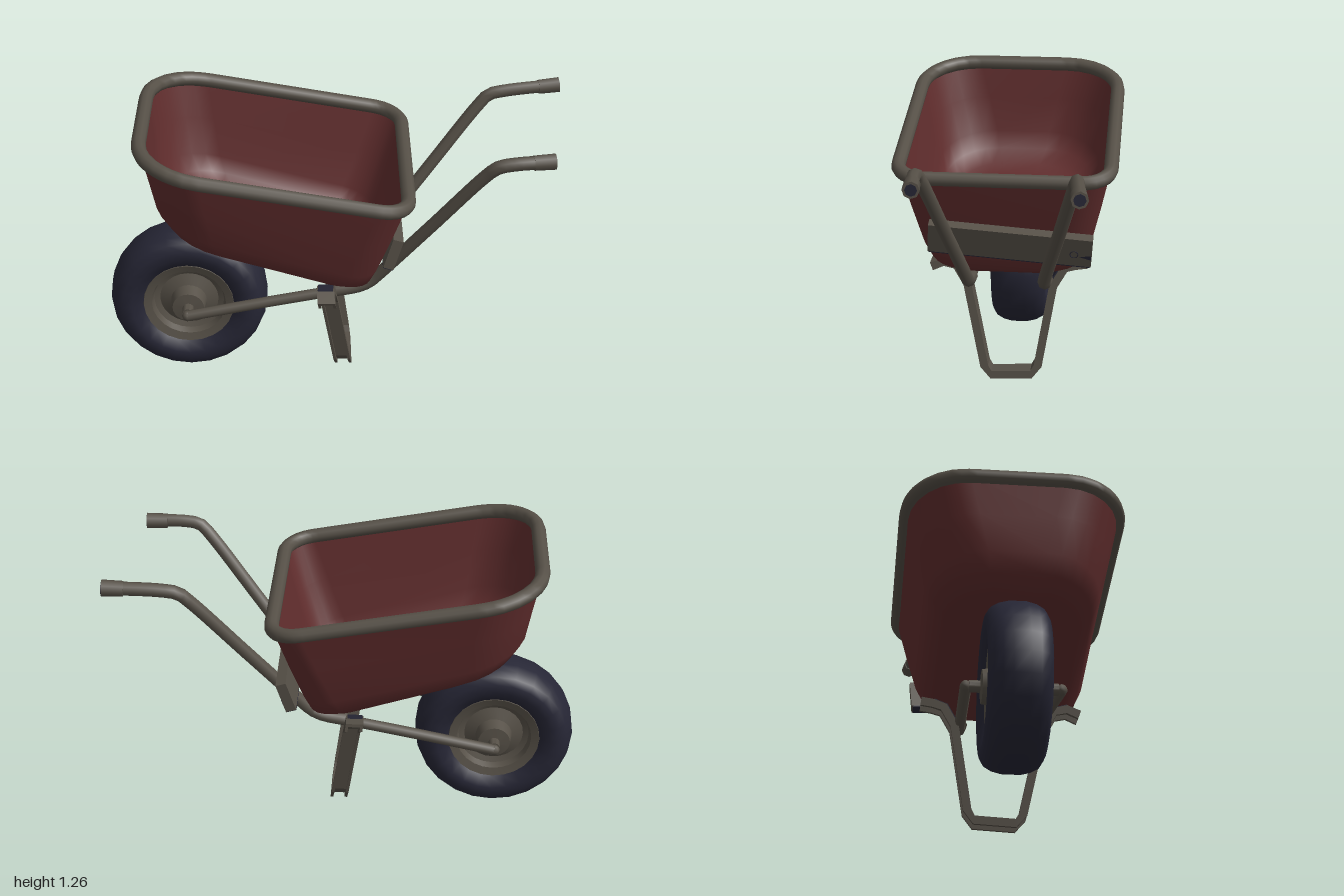
import * as THREE from 'three';
import { toCreasedNormals } from 'three/addons/utils/BufferGeometryUtils.js';

const mat = (name, color) => {
  const m = new THREE.MeshStandardMaterial({ color, side: THREE.DoubleSide });
  m.name = name;
  return m;
};
const V = (x, y, z) => new THREE.Vector3(x, y, z);

// Rounded rectangle loop lying in a plane tilted along x
function trayLoop([x0, x1, y0, y1, hz, rFront, rBack]) {
  const pts = [];
  const corners = [[x1, 1, rBack, 0], [x0, 1, rFront, 1], [x0, -1, rFront, 2], [x1, -1, rBack, 3]];
  for (const [x, sz, r, q] of corners) {
    const cx = x === x1 ? x1 - r : x0 + r, cz = sz * (hz - r);
    for (let i = 0; i <= 6; i++) {
      const a = (q + i / 6) * Math.PI / 2;
      const px = cx + r * Math.cos(a);
      pts.push(V(px, y0 + (y1 - y0) * (px - x0) / (x1 - x0), cz + r * Math.sin(a)));
    }
  }
  return pts;
}

// Skin over equal-length loops, closed by a fan at the last loop
function skin(loops) {
  const n = loops[0].length, pos = [], idx = [];
  loops.forEach(l => l.forEach(p => pos.push(p.x, p.y, p.z)));
  const last = loops[loops.length - 1];
  const c = last.reduce((s, p) => s.add(p), V(0, 0, 0)).divideScalar(n);
  pos.push(c.x, c.y, c.z);
  for (let k = 0; k < loops.length; k++) {
    for (let i = 0; i < n; i++) {
      const j = (i + 1) % n, a = k * n + i, b = k * n + j;
      if (k === loops.length - 1) idx.push(a, b, loops.length * n);
      else idx.push(a, b, a + n, b, b + n, a + n);
    }
  }
  const g = new THREE.BufferGeometry();
  g.setAttribute('position', new THREE.Float32BufferAttribute(pos, 3));
  g.setIndex(idx);
  g.computeVertexNormals();
  return g;
}

// Bar following a (z, y) path, extruded along x and leaning back towards the ground
function legBar(path, t0, t1, x0, width) {
  const pts = path.map(p => new THREE.Vector2(...p));
  const side = t => pts.map((p, i) => {
    const d = pts[Math.min(i + 1, pts.length - 1)].clone().sub(pts[Math.max(i - 1, 0)]).normalize();
    return new THREE.Vector2(-(p.x - d.y * t), p.y + d.x * t);
  });
  const shape = new THREE.Shape([...side(t0), ...side(t1).reverse()]);
  const g = new THREE.ExtrudeGeometry(shape, { depth: width, bevelEnabled: false });
  g.rotateY(Math.PI / 2);
  const p = g.attributes.position;
  for (let i = 0; i < p.count; i++) p.setX(i, p.getX(i) + x0 + (0.55 - p.getY(i)) * 0.15);
  g.computeVertexNormals();
  return g;
}

export function createModel() {
  const red = mat('tray red', 0x602d2d);
  const metal = mat('metal grey', 0x565047);
  const dark = mat('rubber dark', 0x262635);
  const model = new THREE.Group();
  model.name = 'wheelbarrow';
  const add = (name, geo, material, parent = model) => {
    const m = new THREE.Mesh(geo, material);
    m.name = name;
    parent.add(m);
    return m;
  };
  const tube = (pts, r) => new THREE.TubeGeometry(new THREE.CatmullRomCurve3(pts), 36, r, 8);

  // Tray: x front, x back, y front, y back, half width, corner radii
  const loops = [
    [-0.81, 0.30, 1.24, 1.035, 0.45, 0.25, 0.12],
    [-0.785, 0.24, 1.08, 0.835, 0.41, 0.25, 0.13],
    [-0.762, 0.18, 0.92, 0.65, 0.37, 0.25, 0.14],
    [-0.72, 0.155, 0.845, 0.58, 0.34, 0.23, 0.14],
    [-0.65, 0.105, 0.79, 0.548, 0.285, 0.2, 0.13],
    [-0.58, 0.03, 0.768, 0.571, 0.22, 0.14, 0.08],
  ].map(trayLoop);
  add('tray', skin(loops), red);

  // Rolled rim around the tray
  const rimPath = new THREE.CurvePath();
  loops[0].forEach((p, i, l) => rimPath.add(new THREE.LineCurve3(p, l[(i + 1) % l.length])));
  add('trayRim', new THREE.TubeGeometry(rimPath, 120, 0.031, 10, true), metal);

  // Wheel
  const wheel = new THREE.Group();
  wheel.name = 'wheel';
  wheel.position.set(-0.65, 0.36, -0.008);
  model.add(wheel);
  const lathe = half => {
    const all = [...half, ...half.map(([r, y]) => [r, -y]).reverse()];
    const g = new THREE.LatheGeometry(all.map(p => new THREE.Vector2(...p)), 24);
    return toCreasedNormals(g.rotateX(Math.PI / 2), 0.7);
  };
  add('tire', lathe([[0.19, -0.085], [0.21, -0.105], [0.25, -0.127], [0.29, -0.125], [0.32, -0.107],
    [0.338, -0.075], [0.348, -0.035]]), dark, wheel);
  add('wheelRim', lathe([[0, -0.18], [0.025, -0.18], [0.025, -0.135], [0.07, -0.13], [0.08, -0.07],
    [0.13, -0.05], [0.155, -0.06], [0.165, -0.09], [0.2, -0.1], [0.205, -0.08]]), metal, wheel);

  // Fork arms and handles; the two handles are bent slightly differently
  const sides = [
    { name: 'left', z: [0.185, 0.165, 0.17, 0.29, 0.303, 0.304, 0.29], bend: 0.62, end: [0.90, 1.195] },
    { name: 'right', z: [-0.2, -0.17, -0.178, -0.32, -0.332, -0.338, -0.36], bend: 0.635, end: [0.99, 1.208] },
  ];
  for (const { name, z, bend, end } of sides) {
    const tip = V(-0.65, 0.36, z[0]);
    add(name + 'ForkArm', tube([tip, V(-0.3, 0.425, (z[0] + z[1]) / 2), V(0.06, 0.488, z[1])], 0.024), metal);
    add(name + 'ForkTip', new THREE.SphereGeometry(0.024, 8, 6), metal).position.copy(tip);
    const last = V(end[0], end[1], z[6]), before = V(bend + 0.11, 1.19, z[5]);
    add(name + 'Handle', tube([V(0, 0.48, z[1]), V(0.1, 0.5, z[1]), V(0.15, 0.525, z[1]), V(0.19, 0.568, z[2]),
      V((0.19 + bend) / 2, 0.848, (z[2] + z[3]) / 2), V(bend, 1.13, z[3]), V(bend + 0.045, 1.175, z[4]),
      before, last], 0.029), metal);

    // Grip sleeve with a dark open end
    const dir = last.clone().sub(before).normalize();
    const turn = new THREE.Quaternion().setFromUnitVectors(V(0, 1, 0), dir);
    const grip = add(name + 'Grip', new THREE.CylinderGeometry(0.035, 0.033, 0.09, 8), metal);
    grip.position.copy(last).addScaledVector(dir, -0.045);
    grip.quaternion.copy(turn);
    const bore = add(name + 'GripBore', new THREE.CylinderGeometry(0.025, 0.025, 0.004, 8), dark);
    bore.position.copy(last);
    bore.quaternion.copy(turn);
  }

  // Stand: one folded channel forming both legs and the foot
  const path = [[0.35, 0.535], [0.29, 0.558], [0.22, 0.54], [0.165, 0.45], [0.085, 0.075], [0.07, 0.05],
    [-0.105, 0.058], [-0.12, 0.085], [-0.182, 0.45], [-0.235, 0.54], [-0.29, 0.56], [-0.345, 0.568]];
  add('standWeb', legBar(path, 0, 0.014, -0.08, 0.075), metal);
  for (const x of [-0.08, -0.017]) add('standLip', legBar(path, 0, 0.036, x, 0.012), metal);
  // Dark saddles over the upper bends
  add('leftSaddle', legBar(path.slice(1, 4), -0.005, 0, -0.075, 0.065), dark);
  add('rightSaddle', legBar(path.slice(8, 11), -0.005, 0, -0.075, 0.065), dark);

  // Cross brace behind the tray
  const brace = new THREE.Group();
  brace.name = 'crossBrace';
  brace.position.set(0.243, 0.737, -0.03);
  brace.rotation.set(-0.07, 0, -0.3);
  model.add(brace);
  add('bracePlate', new THREE.BoxGeometry(0.045, 0.14, 0.7), metal, brace);
  add('braceUnderside', new THREE.BoxGeometry(0.044, 0.008, 0.69), dark, brace).position.y = -0.071;
  const hole = add('braceHole', new THREE.TorusGeometry(0.017, 0.002, 4, 12), dark, brace);
  hole.rotation.y = Math.PI / 2;
  hole.position.set(0.023, -0.01, -0.275);
  const notch = new THREE.Shape([[0, 0], [0.05, 0.012], [0.05, -0.012]].map(p => new THREE.Vector2(...p)));
  const slot = add('braceNotch', new THREE.ShapeGeometry(notch), dark, brace);
  slot.rotation.y = Math.PI / 2;
  slot.position.set(0.024, -0.02, -0.298);

  return model;
}
